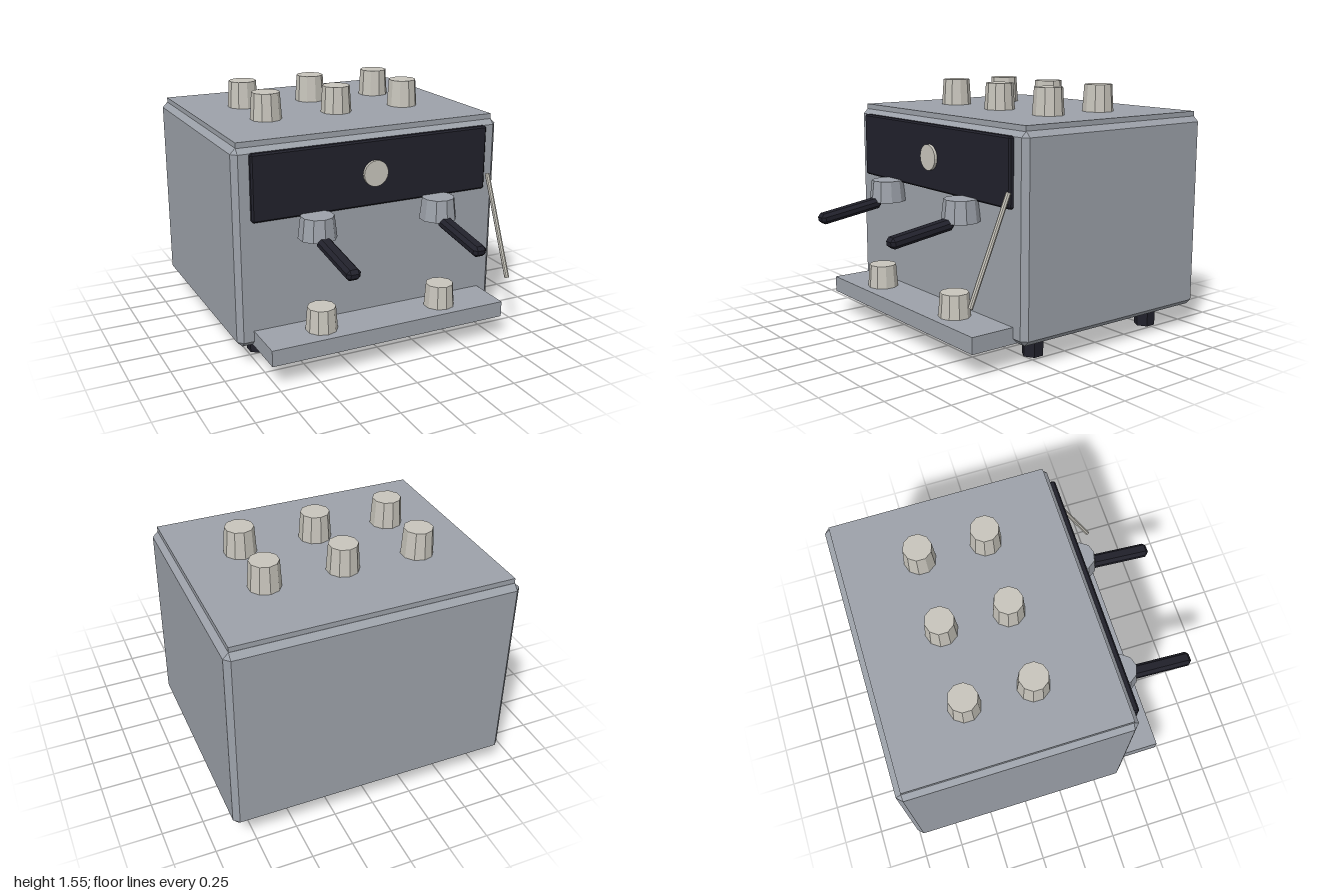
import * as THREE from 'three';
import { ConvexGeometry } from 'three/addons/geometries/ConvexGeometry.js';

// Box with a single flat chamfer on every edge
function chamferBox(w, h, d, b) {
  const pts = [];
  for (const sx of [-1, 1]) for (const sy of [-1, 1]) for (const sz of [-1, 1]) {
    const x = w / 2, y = h / 2, z = d / 2;
    pts.push(
      new THREE.Vector3(sx * x, sy * (y - b), sz * (z - b)),
      new THREE.Vector3(sx * (x - b), sy * y, sz * (z - b)),
      new THREE.Vector3(sx * (x - b), sy * (y - b), sz * z));
  }
  return new ConvexGeometry(pts);
}

export function createModel() {
  const group = new THREE.Group();
  const flat = (name, color) => {
    const m = new THREE.MeshStandardMaterial({ color, flatShading: true });
    m.name = name;
    return m;
  };
  const steel = flat('steel', 0x9da2aa);
  const cream = flat('cream', 0xc8c5bc);
  const black = flat('black', 0x21212b);

  const add = (name, geometry, material, x, y, z) => {
    const mesh = new THREE.Mesh(geometry, material);
    mesh.name = name;
    mesh.position.set(x, y, z);
    group.add(mesh);
    return mesh;
  };

  // Housing with the cup shelf on top
  add('housing', chamferBox(1.756, 1.215, 1.42, 0.033), steel, 0, 0.7475, -0.29);
  add('cupShelf', new THREE.BoxGeometry(1.69, 0.035, 1.355), steel, 0, 1.368, -0.288);

  // Control panel and gauge
  add('controlPanel', chamferBox(1.56, 0.405, 0.06, 0.01), black, 0, 1.122, 0.42);
  add('gauge', new THREE.CylinderGeometry(0.08, 0.08, 0.03, 20), cream, 0, 1.122, 0.453).rotation.x = Math.PI / 2;

  // Drip tray
  add('dripTray', new THREE.BoxGeometry(1.56, 0.1, 0.33), steel, 0, 0.19, 0.54);

  // Cups warming on the shelf
  const shelfCup = new THREE.CylinderGeometry(0.087, 0.098, 0.17, 10);
  for (const x of [-0.474, 0, 0.474])
    for (const z of [-0.495, -0.088]) add('shelfCup', shelfCup, cream, x, 1.468, z);

  // Brewing stations: head, handle and the cup below
  const head = new THREE.CylinderGeometry(0.1, 0.116, 0.135, 10);
  const handle = chamferBox(0.087, 0.066, 0.425, 0.02);
  const trayCup = new THREE.CylinderGeometry(0.086, 0.097, 0.145, 10);
  for (const x of [-0.405, 0.405]) {
    add('brewHead', head, steel, x, 0.868, 0.51);
    add('brewHandle', handle, black, x, 0.767, 0.786).rotation.x = 0.15;
    add('trayCup', trayCup, cream, x, 0.3125, 0.558);
  }

  // Steam wand on the left side
  const top = new THREE.Vector3(0.79, 1.02, 0.463), tip = new THREE.Vector3(0.793, 0.41, 0.728);
  const dir = top.clone().sub(tip);
  const mid = top.clone().add(tip).multiplyScalar(0.5);
  add('steamWand', new THREE.CylinderGeometry(0.015, 0.015, dir.length(), 8), cream, mid.x, mid.y, mid.z)
    .quaternion.setFromUnitVectors(new THREE.Vector3(0, 1, 0), dir.normalize());

  // Hexagonal feet
  const foot = new THREE.CylinderGeometry(0.067, 0.067, 0.15, 6);
  for (const x of [-0.676, 0.676])
    for (const z of [0.187, -0.76]) add('foot', foot, black, x, 0.075, z);

  return group;
}
